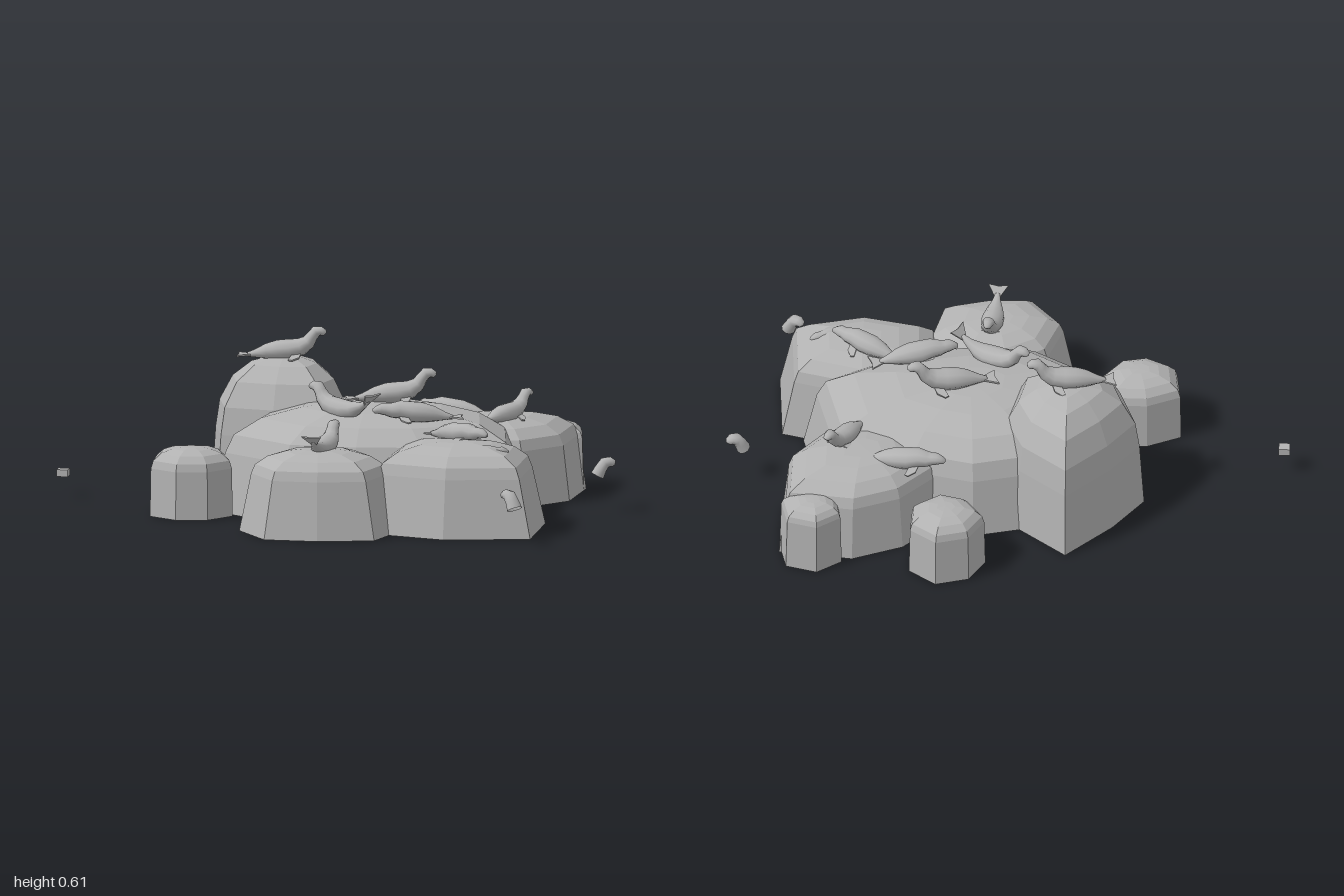
import * as THREE from 'three';

const stone = new THREE.MeshStandardMaterial({ color: 0xb2b2b2, side: THREE.DoubleSide, flatShading: true });
stone.name = 'stone grey';
const hide = new THREE.MeshStandardMaterial({ color: 0xb2b2b2, side: THREE.DoubleSide });
hide.name = 'seal grey';

// Skin a list of equally sized closed rings
function loft(rings) {
  const n = rings[0].length, index = [];
  for (let i = 0; i < rings.length - 1; i++) {
    for (let j = 0; j < n; j++) {
      const a = i * n + j, b = i * n + (j + 1) % n;
      index.push(a, a + n, b, b, a + n, b + n);
    }
  }
  const g = new THREE.BufferGeometry().setFromPoints(rings.flat());
  g.setIndex(index);
  g.computeVertexNormals();
  return g;
}

// Boulder: corners at even angles, sloping walls, then an elliptical dome
function rock(name, x, z, height, wall, taper, start, radii) {
  const levels = [[1, 0]];
  for (const deg of [0, 22, 45, 66, 80, 90]) {
    const a = THREE.MathUtils.degToRad(deg);
    levels.push([taper * Math.pow(Math.max(0, Math.cos(a)), 0.8), wall + (1 - wall) * Math.sin(a)]);
  }
  const rings = levels.map(([s, y]) => radii.map((r, k) => {
    const a = THREE.MathUtils.degToRad(start + k * 360 / radii.length);
    return new THREE.Vector3(Math.cos(a) * r * s, y * height, Math.sin(a) * r * s);
  }));
  const m = new THREE.Mesh(loft(rings), stone);
  m.name = name;
  m.position.set(x, 0, z);
  return m;
}

// Oval body, a little wider than high, along a spine of [forward, up, radius]
function tubeBody(spine, sides = 10) {
  const p = spine.map(([x, y]) => new THREE.Vector2(x, y));
  return loft(spine.map(([x, y, r], i) => {
    const t = p[Math.min(i + 1, p.length - 1)].clone().sub(p[Math.max(i - 1, 0)]).normalize();
    return Array.from({ length: sides }, (_, k) => {
      const a = k / sides * Math.PI * 2, u = Math.cos(a) * r;
      return new THREE.Vector3(x - t.y * u, y + t.x * u, -Math.sin(a) * r * 1.2);
    });
  }));
}

// Thin flat flipper cut from an outline, lying in the xz plane
function flipper(points) {
  const shape = new THREE.Shape(points.map(q => new THREE.Vector2(...q)));
  return new THREE.ExtrudeGeometry(shape, { depth: 0.006, bevelEnabled: false }).rotateX(Math.PI / 2);
}
const foreGeo = flipper([[0.018, 0], [0.012, 0.03], [-0.012, 0.05], [-0.025, 0.045], [-0.012, 0]]);
const flukeGeo = flipper([[0.012, -0.008], [0.012, 0.008], [-0.042, 0.04], [-0.036, 0], [-0.042, -0.04]]);

// Torso, then head and neck for an alert or resting animal
const TORSO = [[-0.13, 0.014, 0.001], [-0.128, 0.014, 0.008], [-0.1, 0.018, 0.015], [-0.06, 0.026, 0.028],
  [-0.02, 0.031, 0.036], [0.02, 0.034, 0.037], [0.06, 0.043, 0.032]];
const HEAD = {
  up: [[0.088, 0.062, 0.025], [0.101, 0.083, 0.02], [0.115, 0.1, 0.02], [0.132, 0.101, 0.016], [0.146, 0.095, 0.011], [0.15, 0.093, 0.001]],
  low: [[0.09, 0.04, 0.026], [0.108, 0.043, 0.021], [0.124, 0.045, 0.02], [0.14, 0.042, 0.014], [0.152, 0.038, 0.009], [0.155, 0.037, 0.001]],
};

function seal(x, y, z, yaw, { head = 'up', tail = 0, size = 1 } = {}) {
  const g = new THREE.Group();
  g.name = 'seal';
  const add = (geo, name) => {
    const m = new THREE.Mesh(geo, hide);
    m.name = name;
    g.add(m);
    return m;
  };
  // The rear end curls up by the tail amount
  const lift = u => tail * Math.pow(Math.max(0, -0.03 - u) / 0.1, 1.4);
  const torso = TORSO.map(([u, v, r]) => [u, v + lift(u), r]);
  add(tubeBody([...torso, ...HEAD[head]]), 'sealBody');
  for (const s of [1, -1]) {
    const f = add(foreGeo, 'foreFlipper');
    f.position.set(0.045, 0.024, s * 0.024);
    f.scale.z = s;
    f.rotation.x = s * 0.35;
  }
  const fluke = add(flukeGeo, 'tailFlipper');
  fluke.position.set(-0.122, 0.017 + lift(-0.122), 0);
  fluke.rotation.z = -tail * 14;
  g.position.set(x, y, z);
  g.rotation.y = yaw;
  g.scale.setScalar(size);
  return g;
}

// Head poking up on its own
function swimmer(x, y, z, yaw) {
  const m = new THREE.Mesh(tubeBody([[-0.027, -0.035, 0.025], [-0.014, -0.01, 0.022], [0, 0.01, 0.021],
    [0.018, 0.013, 0.018], [0.033, 0.007, 0.012], [0.038, 0.004, 0.001]]), hide);
  m.name = 'swimmingSealHead';
  m.position.set(x, y, z);
  m.rotation.y = yaw;
  return m;
}

export function createModel() {
  const model = new THREE.Group();
  model.name = 'sealColony';

  // Rocks: centre, height, wall share, taper, first corner angle, corner radii
  model.add(
    rock('tallRock', -0.22, -0.2, 0.5, 0.48, 0.94, -90, [0.34, 0.25, 0.245, 0.29, 0.235, 0.29, 0.27, 0.23]),
    rock('centralRock', 0.13, -0.02, 0.38, 0.55, 0.92, 15, [0.616, 0.45, 0.4, 0.47, 0.57, 0.52, 0.44, 0.41, 0.41, 0.55]),
    rock('frontRock', 0.05, 0.5, 0.295, 0.7, 0.85, 34, [0.285, 0.22, 0.266, 0.28, 0.255, 0.25, 0.27, 0.29]),
    rock('frontLeftRock', 0.52, 0.34, 0.315, 0.66, 0.85, 30, [0.345, 0.25, 0.35, 0.36, 0.25, 0.325]),
    rock('backLeftRock', 0.5, -0.32, 0.3, 0.66, 0.92, -38, [0.37, 0.29, 0.26, 0.25, 0.28, 0.28, 0.235, 0.265]),
    rock('cornerRock', 0.67, -0.56, 0.24, 0.78, 0.95, 22, [0.13, 0.1, 0.11, 0.11, 0.11, 0.12]),
    rock('backRock', 0.2, -0.59, 0.24, 0.73, 0.97, 26, [0.139, 0.135, 0.125, 0.14, 0.135, 0.145, 0.143]),
    rock('rightRock', -0.46, 0.27, 0.245, 0.7, 0.98, 0, [0.15, 0.13, 0.13, 0.15, 0.166, 0.135, 0.165]),
  );

  // Seals resting on the rocks
  model.add(
    seal(-0.225, 0.49, -0.19, 0.14),
    seal(0.2, 0.375, -0.045, 0.25, { size: 1.03 }),
    seal(0.055, 0.345, 0.14, 2.6, { tail: 0.06 }),
    seal(0.33, 0.345, 0.155, 3.4, { head: 'low' }),
    seal(0.5, 0.3, 0.27, -0.55, { head: 'low', size: 0.95 }),
    seal(0.065, 0.272, 0.475, 1.45, { tail: 0.055, size: 0.9 }),
    seal(0.36, 0.265, -0.38, 2.98, { head: 'low' }),
    seal(0.565, 0.285, -0.262, 1.05, { size: 0.88 }),
    seal(0.6, 0.255, 0.405, 0.4, { head: 'low', size: 0.75 }),
  );
  model.add(swimmer(0.955, 0.165, -0.105, 0.4), swimmer(0.77, 0.165, 0.63, 2.5));

  // Small floating block
  const block = new THREE.Mesh(new THREE.BoxGeometry(0.04, 0.025, 0.04), stone);
  block.name = 'floatingBlock';
  block.position.set(-0.98, 0.088, 0.01);
  model.add(block);
  return model;
}
